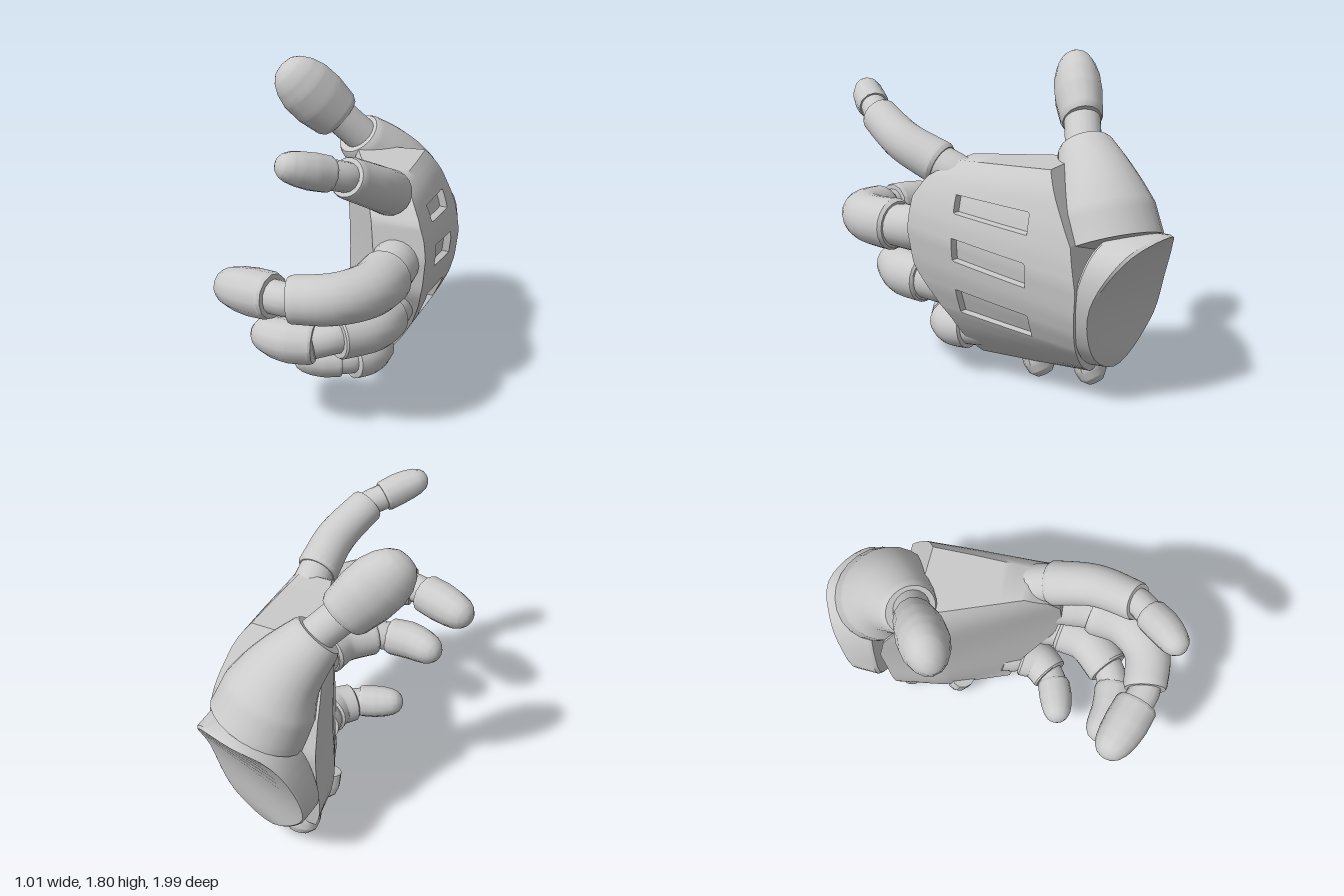
import * as THREE from 'three';
import { toCreasedNormals } from 'three/addons/utils/BufferGeometryUtils.js';

const material = new THREE.MeshStandardMaterial({ color: 0xcccccc, side: THREE.DoubleSide });
const V = (p) => new THREE.Vector3(...p);
const lerp = THREE.MathUtils.lerp;

// Piecewise linear lookup in [[t, value], ...]
function lookup(table, t) {
  for (let i = 1; i < table.length; i++) {
    const [a, va] = table[i - 1], [b, vb] = table[i];
    if (t <= b) return lerp(va, vb, Math.max(0, (t - a) / (b - a)));
  }
  return table[table.length - 1][1];
}

// Skin over closed rings of points, with both ends closed by strips
function loft(name, rings, crease = 0.6) {
  const pos = [], n = rings[0].length;
  const quad = (a, b, c, d) => {
    for (const p of [a, b, c, a, c, d]) pos.push(p.x, p.y, p.z);
  };
  for (let i = 0; i < rings.length - 1; i++) {
    for (let j = 0; j < n; j++) {
      const k = (j + 1) % n;
      quad(rings[i][j], rings[i][k], rings[i + 1][k], rings[i + 1][j]);
    }
  }
  const first = rings[0], last = rings[rings.length - 1];
  for (let k = 0; k < n / 2 - 1; k++) {
    quad(last[k], last[k + 1], last[n - 2 - k], last[n - 1 - k]);
    quad(first[n - 1 - k], first[n - 2 - k], first[k + 1], first[k]);
  }
  const geo = new THREE.BufferGeometry();
  geo.setAttribute('position', new THREE.Float32BufferAttribute(pos, 3));
  const mesh = new THREE.Mesh(toCreasedNormals(geo, crease), material);
  mesh.name = name;
  return mesh;
}

// Oval section swept along a curve; profile is [[t, radius], ...]
function sweep(name, points, profile, sides = 20, wide = 1, tall = 1) {
  const curve = new THREE.CatmullRomCurve3(points.map(V));
  const ts = profile.map((p) => p[0]);
  for (let i = 1; i < 12; i++) ts.push(i / 12);
  const rings = [...new Set(ts)].sort((a, b) => a - b).map((t) => {
    const c = curve.getPointAt(t), tan = curve.getTangentAt(t), r = lookup(profile, t);
    const side = new THREE.Vector3(0, 1, 0).cross(tan).normalize();
    const up = tan.clone().cross(side);
    return Array.from({ length: sides }, (_, k) => {
      const a = (k / sides) * Math.PI * 2;
      return c.clone().addScaledVector(side, r * wide * Math.cos(a)).addScaledVector(up, r * tall * Math.sin(a));
    });
  });
  return loft(name, rings);
}

const bodyProfile = (r0, r1) => [[0, r0 * 0.9], [0.04, r0], [0.97, r1], [1, r1 * 0.93]];
const tipProfile = (r) => [[0, r * 0.94], [0.05, r], [0.35, r * 1.02], [0.6, r * 0.95],
  [0.78, r * 0.83], [0.9, r * 0.65], [0.97, r * 0.42], [1, r * 0.15]];

// Finger: knuckle, curved body, narrow joint and rounded tip
function finger(name, f) {
  const g = new THREE.Group();
  g.name = name;
  const start = f.body[0], end = f.body[f.body.length - 1];
  g.add(sweep('knuckle', [f.root, start, f.body[1]], [[0, f.r * 0.9], [0.3, f.r * 0.88], [1, f.r * 0.7]]));
  g.add(sweep('fingerBody', f.body, bodyProfile(f.r, f.r2)));
  const inner = V(end).lerp(V(f.body[f.body.length - 2]), 0.3).toArray();
  g.add(sweep('fingerJoint', [inner, end, V(f.tip[0]).lerp(V(f.tip[1]), 0.15).toArray()],
    [[0, f.r2 * 0.72], [1, f.r2 * 0.72]], 14));
  g.add(sweep('fingerTip', f.tip, tipProfile(f.rt), 12));
  return g;
}

// Hand body: domed back with three sunken slots, hollowed palm side
function handBody() {
  const back = [[0, 0.14], [0.05, 0.22], [0.1, 0.285], [0.17, 0.35], [0.25, 0.41], [0.35, 0.46], [0.45, 0.49],
    [0.6, 0.508], [0.7, 0.495], [0.8, 0.465], [0.9, 0.42], [0.95, 0.385], [1, 0.33]];
  const rear = [[0, -0.58], [0.58, -0.64], [0.75, -0.6], [1, -0.42]];
  const front = [[0, 0.08], [0.2, 0.15], [0.42, 0.31], [0.6, 0.335], [0.78, 0.32], [0.9, 0.26], [1, 0.13]];
  const slots = [[0.26, 0.37], [0.525, 0.625], [0.755, 0.835]];
  const rows = [];
  for (let i = 0; i <= 32; i++) rows.push(i / 32);
  for (const [a, b] of slots) rows.push(a - 0.006, a, b, b + 0.006);
  rows.sort((a, b) => a - b);
  const columns = [];
  for (let i = 0; i <= 5; i++) columns.push((s) => lerp(lookup(rear, s), -0.36, i / 5));
  for (let i = 0; i <= 9; i++) columns.push(() => lerp(-0.35, 0.055, i / 9));
  for (let i = 0; i <= 5; i++) columns.push((s) => lerp(0.065, lookup(front, s), i / 5));
  const rings = columns.map((column, c) => {
    const outer = [], inner = [];
    for (const s of rows) {
      const z = column(s);
      const y = 0.13 + 1.14 * s + (z + 0.15) * 0.8 * s * (1 - s);
      const sunk = c > 5 && c < 16 && slots.some(([a, b]) => s >= a && s <= b);
      const x = lookup(back, s) - 0.025 * Math.max(0, -z - 0.2);
      const palm = (z > -0.3 ? -0.12 + 0.5 * (z + 0.3) : -0.12 + 0.2 * (z + 0.3)) + 0.03 * Math.sin(Math.PI * s);
      const round = 0.18 * Math.abs(2 * s - 1) ** 6;
      outer.push(new THREE.Vector3(x - (sunk ? 0.04 : 0), y, z));
      inner.push(new THREE.Vector3(Math.min(lerp(palm, x, round), x - 0.02), y, z));
    }
    return [...outer, ...inner.reverse()];
  });
  return loft('handBody', rings, 0.75);
}

// Wrist cuff: slanted egg-shaped collar with a closed end
function wristCuff() {
  const loop = new THREE.CatmullRomCurve3([[0.12, 0.95, -1.0], [-0.07, 0.85, -0.95], [-0.17, 0.64, -0.88],
    [-0.18, 0.4, -0.82], [0.08, 0.18, -0.73], [0.34, 0.3, -0.69], [0.46, 0.6, -0.71],
    [0.41, 0.87, -0.87]].map(V), true).getSpacedPoints(40).slice(0, 40);
  const centre = new THREE.Vector3(0.13, 0.58, -0.82);
  const ring = (scale, move) => loop.map((p) => {
    const q = p.clone().sub(centre).multiplyScalar(scale).add(centre);
    return q.setZ(lerp(p.z, 0.4 * p.z - 0.325, move));
  });
  return loft('wristCuff', [ring(0.97, 0), ring(1, 0.08), ring(1.01, 0.9), ring(0.97, 1), ring(0.85, 1)]);
}

export function createModel() {
  const model = new THREE.Group();
  model.name = 'mechanicalHand';
  model.add(handBody(), wristCuff());

  const fingers = {
    indexFinger: { r: 0.122, r2: 0.104, rt: 0.09, root: [0.27, 1.13, 0.06],
      body: [[0.29, 1.225, 0.24], [0.285, 1.33, 0.48], [0.195, 1.45, 0.71]],
      tip: [[0.13, 1.48, 0.78], [0.05, 1.52, 0.87], [-0.065, 1.57, 0.965]] },
    middleFinger: { r: 0.146, r2: 0.122, rt: 0.122, root: [0.34, 0.87, 0.25],
      body: [[0.345, 0.87, 0.5], [0.305, 0.87, 0.7], [0.17, 0.865, 0.84], [-0.05, 0.85, 0.875]],
      tip: [[-0.14, 0.845, 0.85], [-0.3, 0.835, 0.8], [-0.48, 0.825, 0.73]] },
    ringFinger: { r: 0.138, r2: 0.125, rt: 0.115, root: [0.3, 0.57, 0.15],
      body: [[0.3, 0.57, 0.34], [0.265, 0.57, 0.5], [0.12, 0.57, 0.66]],
      tip: [[0.03, 0.55, 0.72], [-0.12, 0.55, 0.73], [-0.32, 0.55, 0.67]] },
    littleFinger: { r: 0.125, r2: 0.115, rt: 0.097, root: [0.16, 0.3, 0.02],
      body: [[0.18, 0.28, 0.14], [0.17, 0.27, 0.24], [0.1, 0.27, 0.33]],
      tip: [[0.06, 0.275, 0.36], [-0.05, 0.28, 0.4], [-0.19, 0.3, 0.44]] },
  };
  for (const [name, spec] of Object.entries(fingers)) model.add(finger(name, spec));

  // Thumb: broad tapered base, joint and large rounded tip
  const thumb = new THREE.Group();
  thumb.name = 'thumb';
  thumb.add(
    sweep('thumbBase', [[0.15, 0.86, -0.69], [0.06, 1.12, -0.58], [-0.08, 1.33, -0.43]],
      [[0, 0.265], [0.3, 0.255], [0.6, 0.2], [0.96, 0.145], [1, 0.13]], 24, 1.08),
    sweep('thumbJoint', [[-0.05, 1.31, -0.44], [-0.2, 1.47, -0.36]], [[0, 0.1], [1, 0.1]]),
    sweep('thumbTip', [[-0.18, 1.44, -0.37], [-0.31, 1.59, -0.285], [-0.455, 1.76, -0.2]],
      [[0, 0.125], [0.05, 0.137], [0.35, 0.155], [0.6, 0.152], [0.78, 0.13], [0.9, 0.1], [0.97, 0.065], [1, 0.02]],
      16, 0.86, 1.1));
  model.add(thumb);

  // Two short flattened stubs under the heel of the hand
  for (const [x, z] of [[0.03, -0.2], [0, -0.5]]) {
    model.add(sweep('heelStub', [[x, 0.18, z], [x, 0.11, z - 0.02], [x, 0.02, z - 0.06]],
      [[0, 0.115], [0.5, 0.115], [0.8, 0.1], [1, 0.06]], 14, 1, 0.72));
  }
  return model;
}
